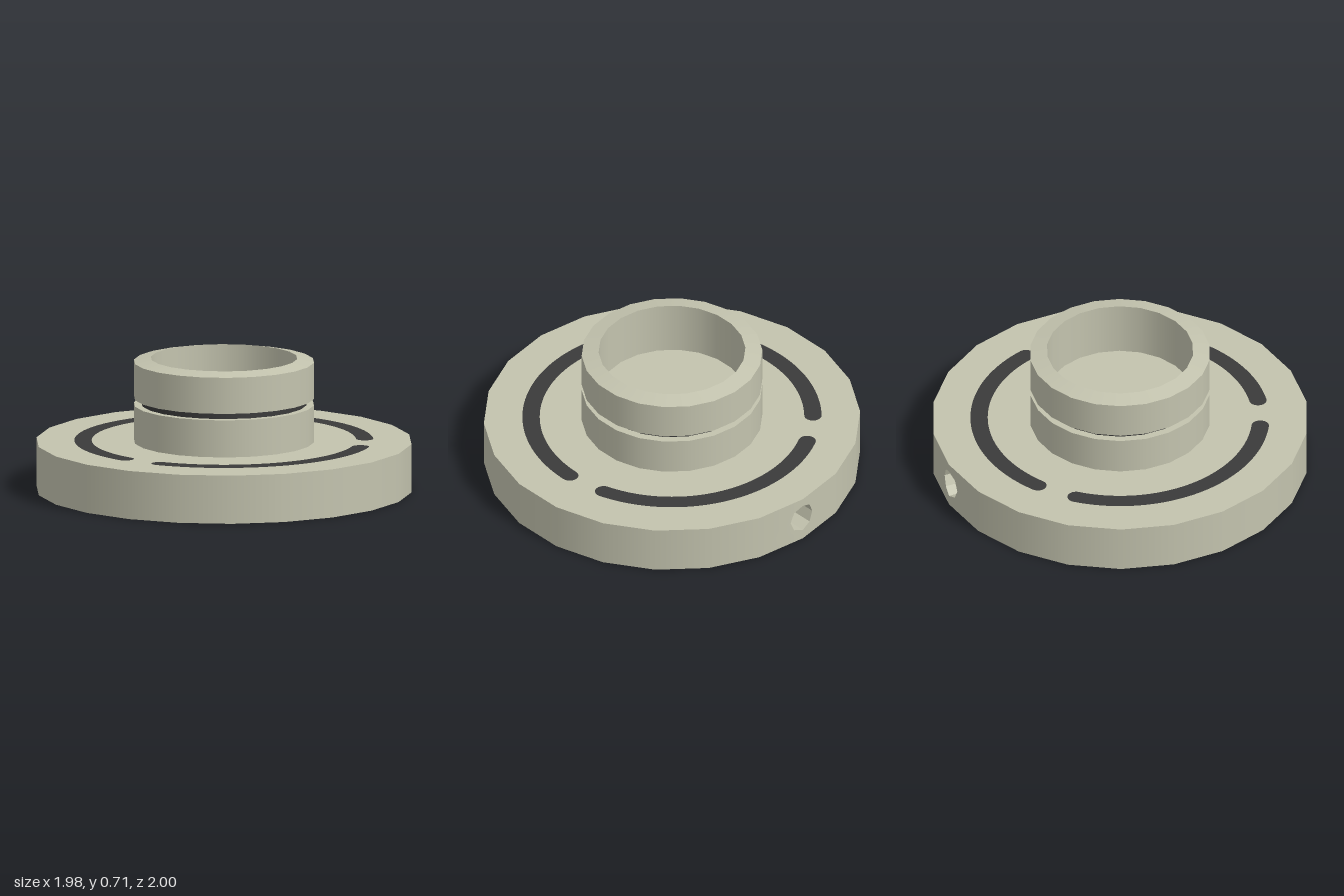
import * as THREE from 'three';
import { mergeGeometries } from 'three/addons/utils/BufferGeometryUtils.js';

const SIDES = 22;
const STEP = (Math.PI * 2) / SIDES;
const FLANGE_H = 0.26;
const HOLE_R = 0.08;
const HOLE_Y = 0.135;
const SLOPE = (1 - Math.cos(STEP)) / Math.sin(STEP); // how far a back facet recedes per unit of |x|

// Turned surface with a sharp edge at every profile point
function turned(profile) {
  const bands = [];
  for (let i = 0; i < profile.length - 1; i++) {
    const pair = [profile[i], profile[i + 1]].map(([r, y]) => new THREE.Vector2(r, y));
    bands.push(new THREE.LatheGeometry(pair, SIDES));
  }
  return mergeGeometries(bands);
}

// One back facet of the flange, with half of the octagonal hole cut from its edge
function backFacet(side) {
  const w = Math.sin(STEP) * side;
  const shape = new THREE.Shape();
  shape.moveTo(0, 0);
  shape.lineTo(w, 0);
  shape.lineTo(w, FLANGE_H);
  shape.lineTo(0, FLANGE_H);
  for (let i = 0; i <= 4; i++) {
    const a = (i * Math.PI) / 4;
    shape.lineTo(side * HOLE_R * Math.sin(a), HOLE_Y + HOLE_R * Math.cos(a));
  }
  const geo = new THREE.ShapeGeometry(shape);
  const pos = geo.attributes.position;
  const normal = new THREE.Vector3();
  for (let i = 0; i < pos.count; i++) {
    const x = -pos.getX(i);
    const z = -1 + Math.abs(x) * SLOPE;
    pos.setXYZ(i, x, pos.getY(i), z);
    normal.set(x, 0, z).normalize();
    geo.attributes.normal.setXYZ(i, normal.x, 0, normal.z);
  }
  return geo;
}

// Curved slot with round ends, lying flat and facing up
function slotGeometry(start, sweep, radius, half) {
  const a0 = -start - sweep;
  const a1 = -start;
  const s = new THREE.Shape();
  s.absarc(0, 0, radius + half, a0, a1, false);
  s.absarc(radius * Math.cos(a1), radius * Math.sin(a1), half, a1, a1 + Math.PI, false);
  s.absarc(0, 0, radius - half, a1, a0, true);
  s.absarc(radius * Math.cos(a0), radius * Math.sin(a0), half, a0 + Math.PI, a0 + Math.PI * 2, false);
  return new THREE.ShapeGeometry(s, 32).rotateX(-Math.PI / 2);
}

export function createModel() {
  const model = new THREE.Group();
  const body = new THREE.MeshStandardMaterial({ color: 0xc3c3ae });
  body.name = 'paleOlive';
  const dark = new THREE.MeshStandardMaterial({ color: 0x3a3a3a });
  dark.name = 'charcoal';
  const add = (name, geometry, material) => {
    const mesh = new THREE.Mesh(geometry, material);
    mesh.name = name;
    model.add(mesh);
    return mesh;
  };

  // Flange: wall, two notched back facets, top and bottom
  const wall = new THREE.CylinderGeometry(1, 1, FLANGE_H, SIDES - 2, 1, true, Math.PI + STEP, Math.PI * 2 - 2 * STEP);
  wall.translate(0, FLANGE_H / 2, 0);
  add('flangeWall', wall, body);
  for (const side of [-1, 1]) add('flangeBackFacet', backFacet(side), body);
  add('flangeTop', turned([[1, FLANGE_H], [0.45, FLANGE_H]]), body);
  add('flangeBottom', turned([[0, 0], [1, 0]]), body);

  // Blind octagonal hole in the back of the flange
  const holeProfile = [[HOLE_R, 1], [HOLE_R, 0.5], [0, 0.5]].map(([r, y]) => new THREE.Vector2(r, y));
  const hole = new THREE.LatheGeometry(holeProfile, 8).rotateX(-Math.PI / 2).translate(0, HOLE_Y, 0).toNonIndexed();
  const p = hole.attributes.position;
  for (let i = 0; i < p.count; i++) {
    if (p.getZ(i) < -0.9) p.setZ(i, -1 + Math.abs(p.getX(i)) * SLOPE);
  }
  hole.computeVertexNormals();
  add('sideHole', hole, body);

  // Hub below and above the groove, with sloping rim and blind bore
  add('hubLower', turned([[0.48, FLANGE_H], [0.48, 0.46], [0.44, 0.46]]), body);
  add('hubUpper', turned([[0.44, 0.495], [0.48, 0.495], [0.48, 0.69], [0.39, 0.708], [0.39, 0.415], [0, 0.415]]), body);
  add('hubGroove', turned([[0.44, 0.46], [0.44, 0.495]]), dark);

  // Three curved slots on the flange
  for (let i = 0; i < 3; i++) {
    const start = THREE.MathUtils.degToRad(0.5 + i * 120);
    const slot = add('flangeSlot', slotGeometry(start, THREE.MathUtils.degToRad(102.5), 0.748, 0.046), dark);
    slot.position.y = FLANGE_H + 0.003;
  }
  return model;
}
